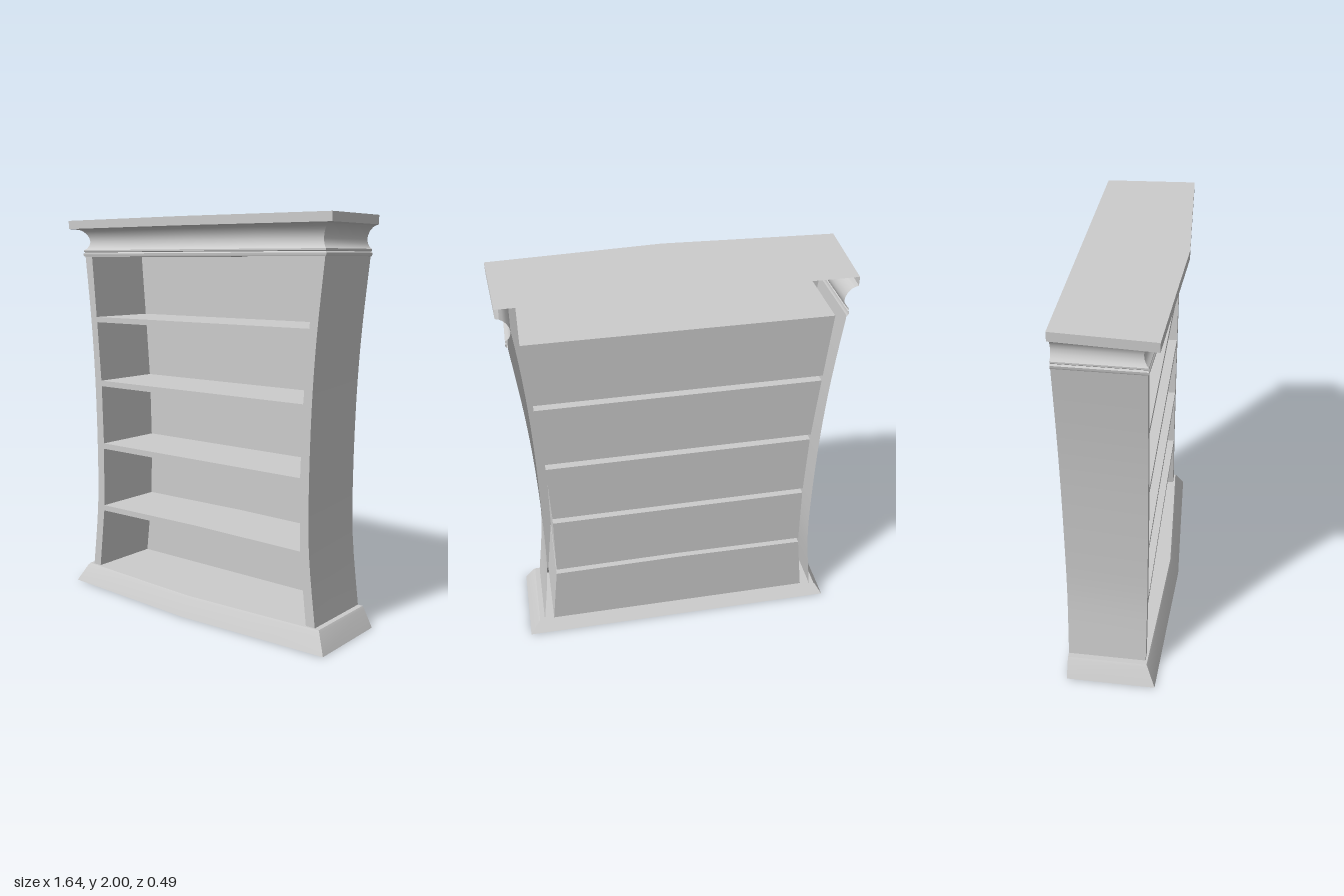
import * as THREE from 'three';
import { toCreasedNormals } from 'three/addons/utils/BufferGeometryUtils.js';

const BACK = -0.247, FRONT = 0.145, HALF = 0.822;
const material = new THREE.MeshStandardMaterial({ color: 0xcccccc, side: THREE.DoubleSide });

// Skin a row of cross-sections (equal point counts) with quads
function loft(sections, closed = false) {
  const pos = [];
  for (let i = 0; i < sections.length - 1; i++) {
    const a = sections[i], b = sections[i + 1], n = a.length;
    for (let j = 0; j < (closed ? n : n - 1); j++) {
      const k = (j + 1) % n;
      pos.push(...a[j], ...a[k], ...b[k], ...a[j], ...b[k], ...b[j]);
    }
  }
  const g = new THREE.BufferGeometry();
  g.setAttribute('position', new THREE.Float32BufferAttribute(pos, 3));
  return toCreasedNormals(g, 0.5);
}

// Bowed plan line running back-left, round the front, to back-right
function bowed(inset, y, backX = HALF - inset) {
  const x = HALF - inset, dz = inset * 0.85;
  return [[-backX, y, BACK], [-x, y, 0.2 - dz], [-0.4, y, 0.222 - dz], [0, y, 0.244 - dz],
    [0.4, y, 0.222 - dz], [x, y, 0.2 - dz], [backX, y, BACK]];
}

// Flat-fronted plan line at the cabinet body
const flat = (x, y) => [[-x, y, BACK], [-x, y, FRONT], [-0.4, y, FRONT], [0, y, FRONT],
  [0.4, y, FRONT], [x, y, FRONT], [x, y, BACK]];

// Plate from a plan line straight to the open back
function plate(line) {
  const bx = line[6][0];
  return loft([line, line.map(([x, y]) => [THREE.MathUtils.clamp(x, -bx, bx), y, BACK])]);
}

export function createModel() {
  const model = new THREE.Group();
  const add = (parent, name, geometry, z = 0) => {
    const mesh = new THREE.Mesh(geometry, material);
    mesh.name = name;
    mesh.position.z = z;
    parent.add(mesh);
  };

  // Top slab, open behind
  const slab = new THREE.Group();
  slab.name = 'topSlab';
  model.add(slab);
  const slabTop = bowed(0, 2, 0.795);
  add(slab, 'slabTop', plate(slabTop));
  add(slab, 'slabEdge', loft([slabTop, bowed(0, 1.957, 0.795), bowed(0.044, 1.952)]));

  // Cornice: cove above a small bead
  const cove = [[0.044, 1.952], [0.058, 1.944], [0.073, 1.928], [0.083, 1.908], [0.086, 1.89],
    [0.082, 1.87], [0.072, 1.854], [0.06, 1.846], [0.06, 1.838], [0.064, 1.834], [0.057, 1.828], [0.057, 1.82], [0.061, 1.812]];
  add(model, 'cornice', loft([...cove.map(([d, y]) => bowed(d, y)), flat(0.755, 1.812)]));

  // Base with sloping skirt
  const base = new THREE.Group();
  base.name = 'base';
  model.add(base);
  add(base, 'baseBottom', plate(bowed(0, 0)));
  add(base, 'baseSkirt', loft([bowed(0, 0), bowed(0.048, 0.09), bowed(0.056, 0.1), flat(0.74, 0.1)]));

  // Waisted side walls
  const waist = new THREE.SplineCurve([[0.74, 0.1], [0.7, 0.45], [0.693, 0.77], [0.701, 1.15],
    [0.721, 1.47], [0.756, 1.812]].map(p => new THREE.Vector2(...p))).getPoints(20);
  for (const s of [1, -1]) {
    add(model, s > 0 ? 'leftSide' : 'rightSide',
      loft([FRONT, BACK].map(z => waist.map(p => [s * p.x, p.y, z]))));
  }

  // Compartments: bottom half-width, bottom y, top half-width, top y, bottom bow, top bow
  const cells = [
    [0.69, 0.1, 0.652, 0.425, 0, 0.007],
    [0.65, 0.455, 0.644, 0.775, 0.006, 0],
    [0.644, 0.805, 0.652, 1.12, 0, 0],
    [0.654, 1.15, 0.677, 1.465, 0, 0],
    [0.68, 1.493, 0.706, 1.811, 0, 0],
  ].map(([xb, y0, xt, y1, b, t]) => [[-xb, y0], [0, y0 + b], [xb, y0], [xt, y1], [0, y1 + t], [-xt, y1]]
    .map(p => new THREE.Vector2(...p)));

  // Front frame with an opening per compartment
  const frame = new THREE.Shape([...waist, ...waist.slice().reverse().map(p => new THREE.Vector2(-p.x, p.y))]);
  frame.holes = cells.map(c => new THREE.Path(c));
  add(model, 'frontFrame', new THREE.ShapeGeometry(frame), FRONT);

  // Thin-walled box behind each opening
  cells.forEach((cell, i) => {
    const box = new THREE.Group();
    box.name = 'compartment' + (i + 1);
    model.add(box);
    add(box, 'compartmentWalls', loft([FRONT, -0.238].map(z => cell.map(p => [p.x, p.y, z])), true));
    add(box, 'backPanel', new THREE.ShapeGeometry(new THREE.Shape(cell)), -0.238);
  });

  return model;
}
